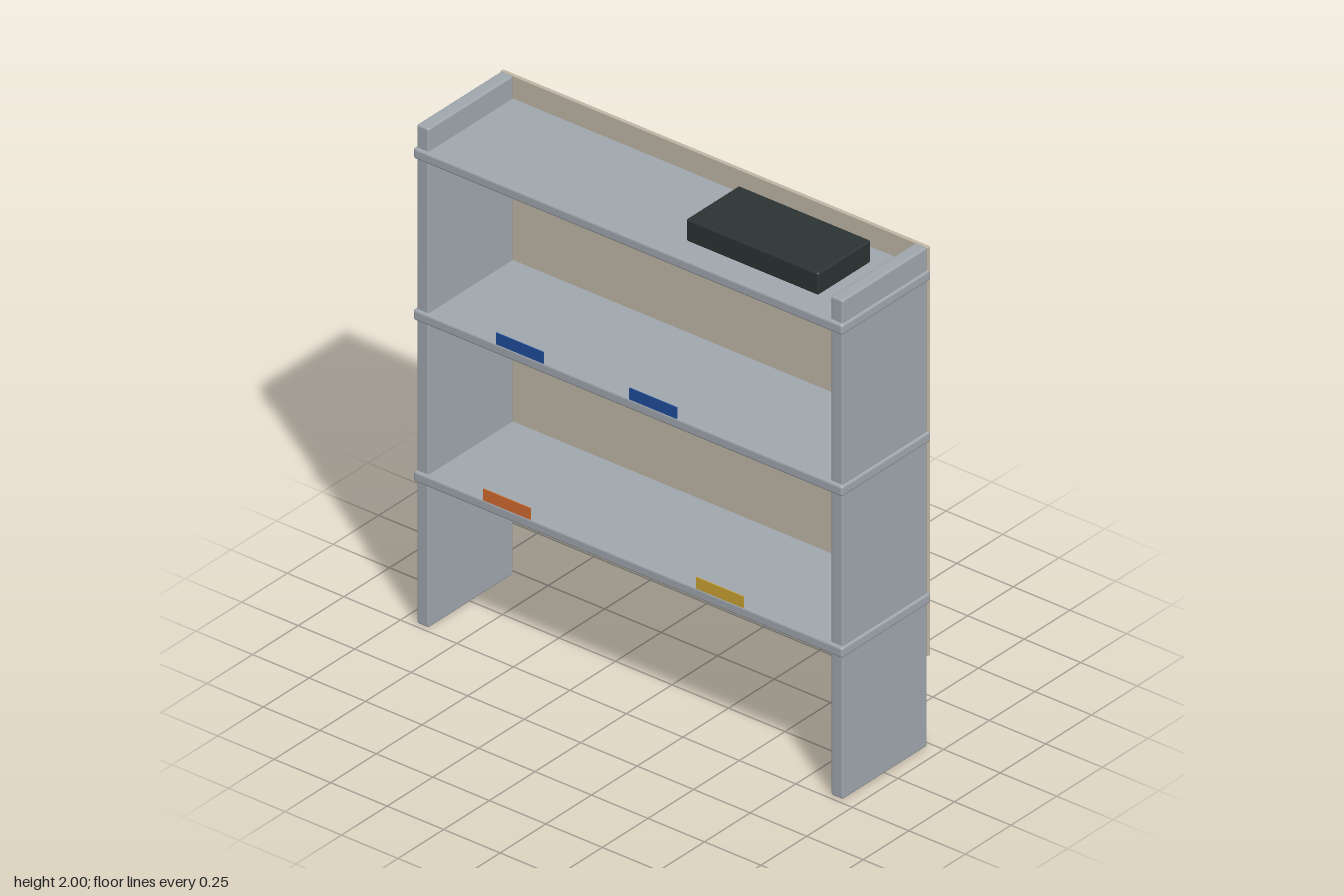
import * as THREE from 'three';
import { RoundedBoxGeometry } from 'three/addons/geometries/RoundedBoxGeometry.js';

const mat = (name, color) => {
  const m = new THREE.MeshStandardMaterial({ color });
  m.name = name;
  return m;
};

export function createModel() {
  const grey = mat('grey metal', 0x9fa6ad);
  const beige = mat('beige board', 0xbfb5a5);
  const black = mat('dark case', 0x2b3333);
  const blue = mat('blue label', 0x1f4c99);
  const orange = mat('orange label', 0xcf6a2e);
  const yellow = mat('yellow label', 0xc9a032);

  const model = new THREE.Group();
  model.name = 'shelfUnit';

  // Box given by its min and max corners; a radius rounds the edges
  function box(name, material, [x0, y0, z0], [x1, y1, z1], radius = 0) {
    const size = [x1 - x0, y1 - y0, z1 - z0];
    const geometry = radius
      ? new RoundedBoxGeometry(...size, 2, radius)
      : new THREE.BoxGeometry(...size);
    const mesh = new THREE.Mesh(geometry, material);
    mesh.name = name;
    mesh.position.set((x0 + x1) / 2, (y0 + y1) / 2, (z0 + z1) / 2);
    model.add(mesh);
  }

  // Upright side panels
  box('leftPanel', grey, [0.89, 0, -0.232], [0.943, 2, 0.232], 0.008);
  box('rightPanel', grey, [-0.943, 0, -0.232], [-0.89, 2, 0.232], 0.008);

  // Shelves running through the uprights
  for (const y of [0.572, 1.219, 1.866]) {
    box('shelf', grey, [-0.95, y, -0.243], [0.95, y + 0.043, 0.244], 0.01);
  }

  // Back board
  box('backBoard', beige, [-0.946, 0.36, -0.245], [0.946, 2, -0.23], 0.004);

  // Case lying on the top shelf
  box('topCase', black, [0.175, 1.909, -0.15], [0.76, 1.998, 0.14], 0.008);

  // Small slot on the back board
  box('slot', black, [0.634, 1.568, -0.231], [0.657, 1.638, -0.226]);

  // Labels standing along the shelf fronts
  const labels = [
    [blue, -0.58, 1.262], [blue, 0.01, 1.262],
    [orange, -0.637, 0.615], [yellow, 0.305, 0.615],
  ];
  for (const [material, x, y] of labels) {
    box('label', material, [x, y, 0.243], [x + 0.21, y + 0.046, 0.247]);
  }

  return model;
}
